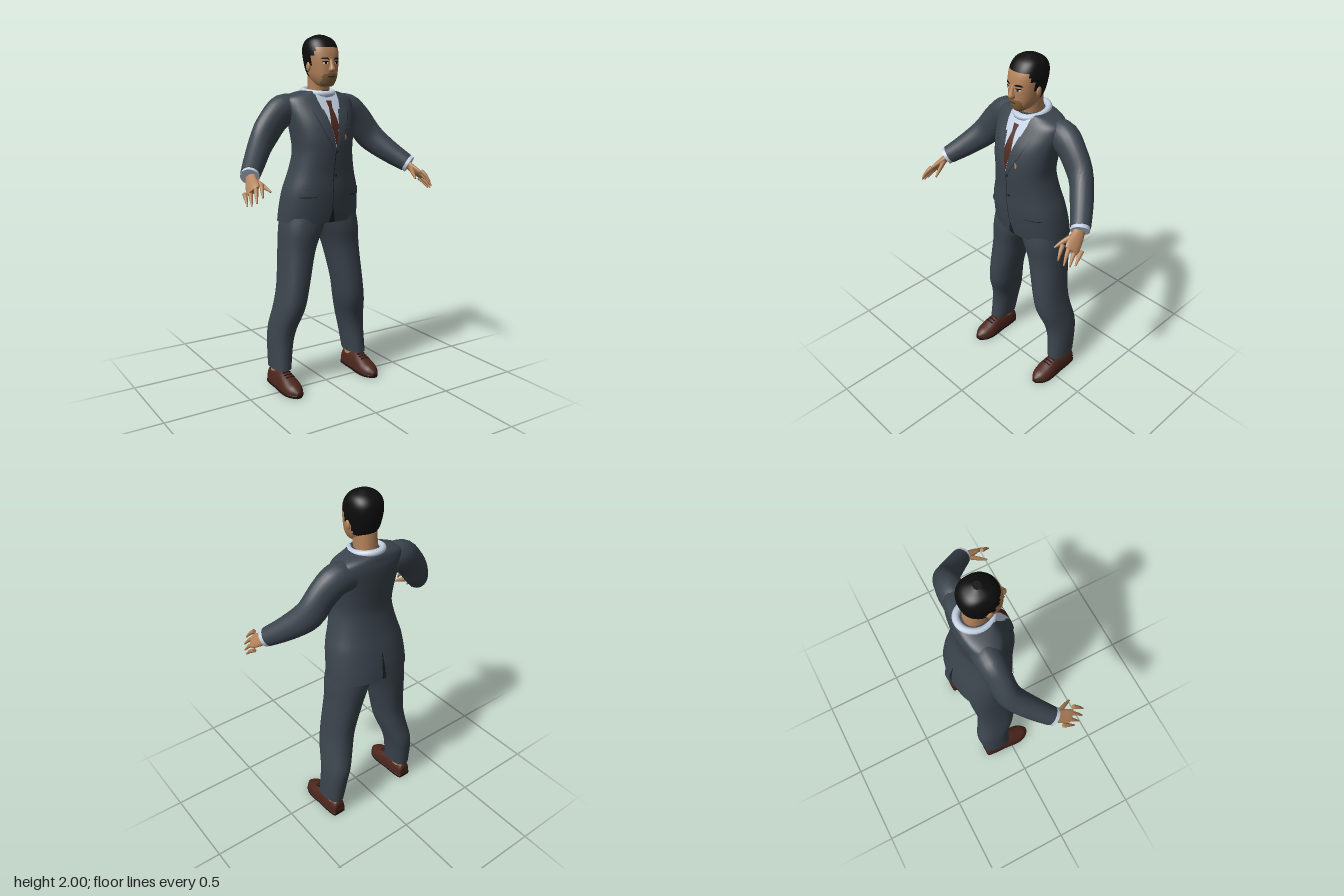
import * as THREE from 'three';

const mat = (name, color) => {
  const m = new THREE.MeshStandardMaterial({ color });
  m.name = name;
  return m;
};

// Smoothly adds k rows between neighbouring cross-sections
function densify(s, k = 4) {
  const rows = [];
  for (let i = 0; i < s.length - 1; i++) {
    const a = s[Math.max(i - 1, 0)], b = s[i], c = s[i + 1], d = s[Math.min(i + 2, s.length - 1)];
    for (let j = 0; j < k; j++) {
      const t = j / k;
      rows.push(b.map((v, n) => {
        const cubic = 3 * (v - c[n]) + d[n] - a[n];
        const square = 2 * a[n] - 5 * v + 4 * c[n] - d[n];
        return v + 0.5 * t * (c[n] - a[n] + t * (square + t * cubic));
      }));
    }
  }
  rows.push(s[s.length - 1]);
  return rows;
}

// [y, left, right, front, back, power] -> [x, y, z, radius a, radius b, power]
const upright = (list) => list.map(([y, x0, x1, f, b, p = 2.3]) =>
  [(x0 + x1) / 2, y, (f + b) / 2, (x1 - x0) / 2, (f - b) / 2, p]);
const even = (list) => upright(list.map(([y, r, f, b]) => [y, -r, r, f, b]));
const mirror = (list, s) => list.map(([x, ...rest]) => [x * s, ...rest]);

// Skins rounded cross-sections; without ref the rings stay level, else they follow the path
function loft(rows, { segs = 24, ref = null, paint = null } = {}) {
  const pos = [], buckets = [[], [], []];
  const centre = rows.map((r) => new THREE.Vector3(r[0], r[1], r[2]));
  rows.forEach((r, i) => {
    let a = new THREE.Vector3(1, 0, 0), t = new THREE.Vector3(0, 1, 0);
    if (ref) {
      t = centre[Math.min(i + 1, rows.length - 1)].clone().sub(centre[Math.max(i - 1, 0)]).normalize();
      a = ref.clone().addScaledVector(t, -ref.dot(t)).normalize();
    }
    const b = t.clone().cross(a), e = 2 / r[5];
    for (let j = 0; j < segs; j++) {
      const th = j / segs * Math.PI * 2, c = Math.cos(th), s = Math.sin(th);
      const point = centre[i].clone()
        .addScaledVector(a, r[3] * Math.sign(c) * Math.abs(c) ** e)
        .addScaledVector(b, r[4] * Math.sign(s) * Math.abs(s) ** e);
      pos.push(point.x, point.y, point.z);
    }
  });
  for (let i = 0; i < rows.length - 1; i++) for (let j = 0; j < segs; j++) {
    const k = (j + 1) % segs, p = i * segs + j, q = i * segs + k;
    const mid = [0, 1, 2].map((n) => (pos[p * 3 + n] + pos[(q + segs) * 3 + n]) / 2);
    buckets[paint ? paint(...mid) : 0].push(p, q, q + segs, p, q + segs, p + segs);
  }
  // End caps with their own vertices, so the rims stay sharp
  [0, rows.length - 1].forEach((i) => {
    const base = pos.length / 3;
    pos.push(...pos.slice(i * segs * 3, (i + 1) * segs * 3), ...centre[i].toArray());
    const id = paint ? paint(...centre[i].toArray()) : 0;
    for (let j = 0; j < segs; j++) {
      const k = base + (j + 1) % segs;
      buckets[id].push(base + segs, ...(i ? [base + j, k] : [k, base + j]));
    }
  });
  const g = new THREE.BufferGeometry();
  g.setAttribute('position', new THREE.Float32BufferAttribute(pos, 3));
  g.setIndex(buckets.flat());
  if (paint) {
    let start = 0;
    buckets.forEach((b, n) => { g.addGroup(start, b.length, n); start += b.length; });
  }
  g.computeVertexNormals();
  return g;
}

// Depth of a level-ringed loft at x, y (dir 1 = front, -1 = back)
function depth(rows, x, y, dir) {
  let i = 0;
  while (i < rows.length - 2 && rows[i + 1][1] < y) i++;
  const t = THREE.MathUtils.clamp((y - rows[i][1]) / (rows[i + 1][1] - rows[i][1]), 0, 1);
  const r = rows[i].map((v, n) => v + (rows[i + 1][n] - v) * t);
  const u = Math.min(Math.abs((x - r[0]) / r[3]), 1);
  return r[2] + dir * r[4] * (1 - u ** r[5]) ** (1 / r[5]);
}

// Thin plate that hugs a loft; outline rows are [y, x0, x1] from top to bottom
function plate(rows, outline, lift = 0.004, dir = 1) {
  const lines = [], pos = [], idx = [], cols = 6, steps = 6;
  for (let i = 0; i < outline.length - 1; i++) for (let k = i ? 1 : 0; k <= steps; k++)
    lines.push(outline[i].map((v, n) => v + (outline[i + 1][n] - v) * k / steps));
  lines.forEach(([y, a, b], i) => {
    const lo = Math.min(a, b), w = Math.abs(b - a);
    for (let j = 0; j <= cols; j++) {
      const x = lo + w * j / cols, p = i * (cols + 1) + j, q = p + cols + 1;
      pos.push(x, y, depth(rows, x, y, dir) + lift * dir);
      if (i < lines.length - 1 && j < cols)
        idx.push(...(dir > 0 ? [p, q, p + 1, p + 1, q, q + 1] : [p, p + 1, q, p + 1, q + 1, q]));
    }
  });
  const g = new THREE.BufferGeometry();
  g.setAttribute('position', new THREE.Float32BufferAttribute(pos, 3));
  g.setIndex(idx);
  g.computeVertexNormals();
  return g;
}

export function createModel() {
  const model = new THREE.Group();
  model.name = 'manInSuit';
  const suit = mat('suit', 0x3b444d), seam = mat('seam', 0x1b2025), shirt = mat('shirt', 0xc3d0e2),
    tie = mat('tie', 0x4f281d), skin = mat('skin', 0xb3825a), beard = mat('stubble', 0x84623f),
    hair = mat('hair', 0x0d0d0d), shoe = mat('shoeLeather', 0x4c251b), sole = mat('sole', 0x1d1412);
  const add = (name, geo, m) => {
    const mesh = new THREE.Mesh(geo, m);
    mesh.name = name;
    model.add(mesh);
    return mesh;
  };

  // Jacket body
  const torso = densify(even([
    [0.97, 0.243, 0.06, -0.255], [1.05, 0.238, 0.075, -0.245], [1.15, 0.225, 0.088, -0.225],
    [1.25, 0.195, 0.092, -0.2], [1.36, 0.173, 0.103, -0.183], [1.45, 0.18, 0.103, -0.19],
    [1.54, 0.195, 0.08, -0.2], [1.62, 0.212, 0.035, -0.205], [1.66, 0.205, 0.01, -0.2],
    [1.685, 0.155, -0.005, -0.195], [1.7, 0.09, 0, -0.185]]));
  add('jacket', loft(torso, { segs: 40 }), suit);
  add('shirtFront', plate(torso, [[1.685, -0.055, 0.055], [1.64, -0.06, 0.06], [1.56, -0.036, 0.036], [1.39, -0.001, 0.001]], 0.003), shirt);
  add('tieKnot', plate(torso, [[1.645, -0.018, 0.018], [1.61, -0.011, 0.011]], 0.008), tie);
  add('tieBlade', plate(torso, [[1.61, -0.011, 0.011], [1.52, -0.025, 0.025], [1.47, -0.015, 0.015], [1.41, -0.003, 0.003]], 0.006), tie);
  add('frontClosure', plate(torso, [[1.39, -0.002, 0.002], [1.2, -0.013, -0.009], [1.05, -0.006, -0.002]]), seam);
  add('frontVent', plate(torso, [[1.05, -0.004, 0.002], [0.972, -0.022, 0.02]]), seam);
  add('backVent', plate(torso, [[1.13, -0.002, 0.002], [0.972, -0.013, 0.013]], 0.003, -1), seam);
  for (const y of [1.24, 1.37]) {
    const button = add('button', new THREE.CylinderGeometry(0.007, 0.007, 0.006, 10), seam);
    button.rotation.x = Math.PI / 2;
    button.position.set(0.005, y, depth(torso, 0, y, 1) + 0.004);
  }
  for (const s of [-1, 1]) {
    const on = (list) => list.map(([y, a, b]) => [y, a * s, b * s]);
    add('lapel', plate(torso, on([[1.675, 0.058, 0.085], [1.63, 0.058, 0.105], [1.59, 0.045, 0.11],
      [1.5, 0.022, 0.075], [1.38, 0, 0.012]]), 0.007), suit);
    add('lapelEdge', plate(torso, on([[1.59, 0.11, 0.113], [1.5, 0.075, 0.078], [1.38, 0.012, 0.014]]), 0.006), seam);
    add('collarPoint', plate(torso, on([[1.69, 0.008, 0.07], [1.65, 0.02, 0.068], [1.6, 0.047, 0.055]]), 0.009), shirt);
    add('pocketFlap', plate(torso, on([[1.16, 0.105, 0.19], [1.125, 0.105, 0.195]]), 0.008), suit);
    add('pocketSeam', plate(torso, on([[1.125, 0.105, 0.195], [1.12, 0.105, 0.195]]), 0.006), seam);
  }
  add('chestTear', plate(torso, [[1.465, 0.056, 0.062], [1.45, 0.06, 0.074], [1.435, 0.06, 0.068]], 0.005), skin);

  // Shirt collar and neck
  const collar = add('collar', new THREE.TorusGeometry(0.085, 0.018, 10, 36), shirt);
  collar.scale.set(0.95, 1.08, 1);
  collar.rotation.x = Math.PI / 2 + 0.14;
  collar.position.set(0, 1.693, -0.085);
  add('neck', loft(densify(even([[1.62, 0.06, -0.02, -0.15], [1.7, 0.058, -0.015, -0.145],
    [1.79, 0.06, 0, -0.135]]))), skin);

  // Head, with hair and stubble as face groups
  const head = densify(even([
    [1.722, 0.028, 0.035, -0.03], [1.735, 0.048, 0.045, -0.07], [1.77, 0.068, 0.055, -0.115],
    [1.81, 0.079, 0.057, -0.145], [1.86, 0.087, 0.056, -0.16], [1.91, 0.092, 0.047, -0.165],
    [1.95, 0.086, 0.028, -0.157], [1.98, 0.066, 0, -0.13], [2.0, 0.022, -0.045, -0.085]]));
  const headPaint = (x, y, z) => {
    const line = y > 1.88 ? 0.008 : y > 1.835 ? -0.018 : y > 1.775 ? -0.065 : -1;
    if (y > 1.93 || z < line) return 1;
    return y < 1.792 && z > 0.012 && Math.abs(x) < 0.046 ? 2 : 0;
  };
  add('head', loft(head, { segs: 44, paint: headPaint }), [skin, hair, beard]);
  add('nose', loft(densify(even([[1.796, 0.012, 0.066, 0.03], [1.81, 0.018, 0.083, 0.03],
    [1.835, 0.012, 0.074, 0.03], [1.87, 0.008, 0.058, 0.03]])), { segs: 14 }), skin);
  add('moustache', plate(head, [[1.793, -0.02, 0.02], [1.783, -0.03, 0.03]], 0.003), beard);
  add('mouth', plate(head, [[1.777, -0.022, 0.022], [1.77, -0.018, 0.018]]), tie);
  for (const s of [-1, 1]) {
    add('eyebrow', plate(head, [[1.876, 0.026 * s, 0.05 * s], [1.866, 0.013 * s, 0.06 * s]]), hair);
    add('eyeWhite', plate(head, [[1.853, 0.024 * s, 0.046 * s], [1.842, 0.022 * s, 0.048 * s]], 0.003), shirt);
    add('iris', plate(head, [[1.854, 0.029 * s, 0.041 * s], [1.842, 0.03 * s, 0.04 * s]], 0.005), hair);
    add('upperLid', plate(head, [[1.857, 0.022 * s, 0.05 * s], [1.852, 0.02 * s, 0.053 * s]], 0.005), hair);
    const ear = add('ear', new THREE.SphereGeometry(1, 14, 10), skin);
    ear.scale.set(0.01, 0.026, 0.017);
    ear.position.set(0.085 * s, 1.828, -0.045);
  }

  const Y = new THREE.Vector3(0, 1, 0);
  for (const s of [-1, 1]) {
    const limb = (name, list, m, opts) => add(name, loft(densify(mirror(list, s)), opts), m);

    // Sleeve and cuff
    limb('sleeve', [[0.13, 1.595, -0.11, 0.08, 0.075, 2], [0.21, 1.593, -0.11, 0.088, 0.075, 2],
      [0.285, 1.53, -0.1, 0.084, 0.066, 2], [0.36, 1.43, -0.08, 0.08, 0.064, 2],
      [0.44, 1.345, -0.002, 0.066, 0.06, 2], [0.512, 1.278, 0.082, 0.052, 0.052, 2]], suit, { ref: Y });
    limb('cuff', [[0.505, 1.285, 0.074, 0.048, 0.048, 2], [0.522, 1.268, 0.096, 0.05, 0.05, 2]], shirt, { ref: Y });

    // Hand
    const across = new THREE.Vector3(0.045 * s, -0.045, -0.07);
    limb('palm', [[0.505, 1.285, 0.075, 0.028, 0.022, 2], [0.524, 1.25, 0.115, 0.036, 0.02, 2],
      [0.541, 1.22, 0.165, 0.042, 0.016, 2], [0.549, 1.208, 0.188, 0.036, 0.011, 2]], skin, { ref: across, segs: 16 });
    [[0.537, 1.185, 0.268], [0.562, 1.158, 0.252], [0.577, 1.142, 0.225], [0.586, 1.137, 0.193]].forEach((tip, k) => {
      const o = (k - 1.5) * 0.4;
      const base = [0.543 + o * 0.045, 1.215 - o * 0.045, 0.172 - o * 0.07];
      const mid = base.map((v, n) => (v + tip[n]) / 2 + (n === 1 ? 0.006 : 0));
      limb('finger', [[...base, 0.012, 0.012, 2], [...mid, 0.01, 0.01, 2], [...tip, 0.004, 0.004, 2]], skin, { ref: across, segs: 10 });
    });
    limb('thumb', [[0.514, 1.252, 0.118, 0.018, 0.014, 2], [0.487, 1.228, 0.175, 0.013, 0.011, 2],
      [0.468, 1.203, 0.222, 0.005, 0.005, 2]], skin, { ref: across, segs: 10 });

    // Trouser leg and ankle
    limb('trouserLeg', upright([
      [0.115, 0.205, 0.316, -0.003, -0.187], [0.25, 0.185, 0.313, -0.012, -0.205], [0.35, 0.162, 0.305, 0, -0.212],
      [0.47, 0.125, 0.286, 0.04, -0.19], [0.6, 0.1, 0.266, 0.05, -0.182], [0.8, 0.052, 0.248, 0.042, -0.205],
      [0.92, 0.003, 0.242, 0.05, -0.215], [1.0, -0.03, 0.232, 0.045, -0.215]]), suit, { segs: 28 });
    limb('ankle', upright([[0.06, 0.222, 0.3, -0.06, -0.165], [0.15, 0.225, 0.297, -0.06, -0.165]]), skin, { segs: 16 });

    // Shoe: rounded upper flattened at the welt, thin sole, laces
    const last = [[-0.18, 0.06, 0.034], [-0.165, 0.085, 0.043], [-0.11, 0.096, 0.049], [-0.04, 0.094, 0.051],
      [0.01, 0.08, 0.056], [0.06, 0.06, 0.056], [0.105, 0.044, 0.042], [0.135, 0.018, 0.014]];
    const upper = limb('shoeUpper', last.map(([z, h, w]) => [0.262, 0.018, z, h, w, 2.3]), shoe, { ref: Y, segs: 28 });
    const p = upper.geometry.attributes.position;
    for (let i = 0; i < p.count; i++) p.setY(i, Math.max(p.getY(i), 0.016));
    upper.geometry.computeVertexNormals();
    limb('shoeSole', last.map(([z, , w]) => [0.262, 0.01, z, 0.01, w + 0.002, 6]), sole, { ref: Y, segs: 28 });
    for (let k = 0; k < 3; k++) {
      const lace = add('lace', new THREE.BoxGeometry(0.05, 0.006, 0.006), sole);
      lace.position.set(0.262 * s, 0.104 - k * 0.0075, -0.012 + k * 0.02);
    }
  }

  // Worn patch on the right forearm
  const tear = add('sleeveTear', new THREE.SphereGeometry(1, 14, 10), skin);
  tear.scale.set(0.036, 0.01, 0.008);
  tear.rotation.set(0, 0.7, 0.72);
  tear.position.set(-0.41, 1.375, 0.032);
  return model;
}
